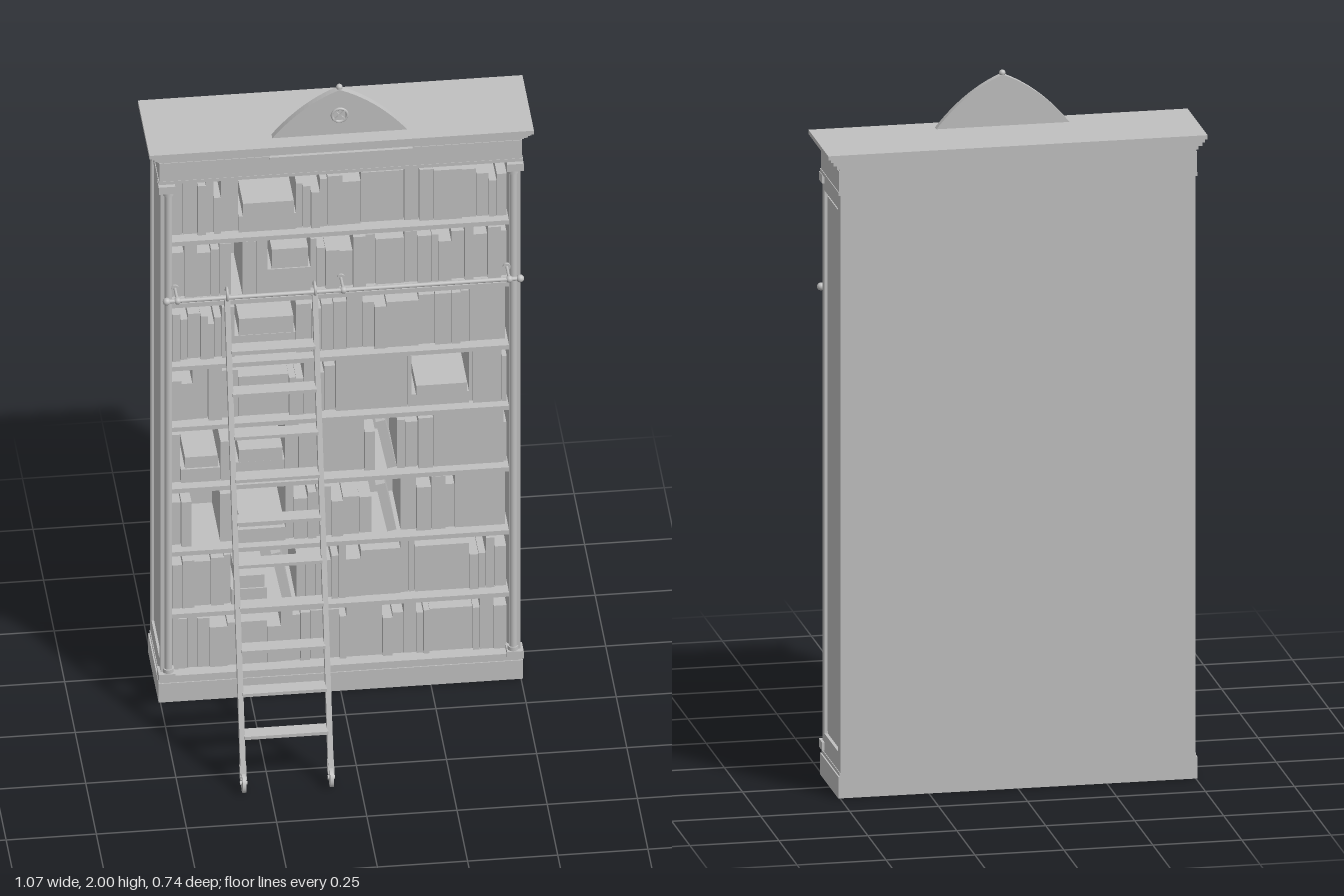
import * as THREE from 'three';

export function createModel() {
  const root = new THREE.Group();
  root.name = 'libraryBookcase';
  const grey = new THREE.MeshStandardMaterial({ color: 0xc0c0c0 });
  grey.name = 'plain grey';

  const add = (name, geo, x = 0, y = 0, z = 0, parent = root) => {
    const m = new THREE.Mesh(geo, grey);
    m.name = name;
    m.position.set(x, y, z);
    parent.add(m);
    return m;
  };
  // Box given by its limits
  const box = (name, x0, x1, y0, y1, z0, z1, parent = root) =>
    add(name, new THREE.BoxGeometry(x1 - x0, y1 - y0, z1 - z0),
      (x0 + x1) / 2, (y0 + y1) / 2, (z0 + z1) / 2, parent);
  const extrude = (shape, depth, bevel = 0) => new THREE.ExtrudeGeometry(shape, {
    depth, curveSegments: 16, bevelEnabled: bevel > 0,
    bevelSize: bevel, bevelThickness: bevel, bevelSegments: 2,
  });

  const BACK = -0.368, FRONT = -0.12;

  // Carcass
  box('backPanel', -0.495, 0.495, 0.05, 1.75, BACK, -0.352);
  box('plinth', -0.505, 0.505, 0, 0.062, BACK, -0.118);
  box('plinthMoulding', -0.501, 0.501, 0.062, 0.072, BACK, -0.121);
  box('bottomBoard', -0.495, 0.495, 0.072, 0.085, BACK, FRONT);
  box('frieze', -0.5, 0.5, 1.725, 1.82, BACK, FRONT);
  const friezeSteps = [[1.725, 1.735, 0.505, -0.117], [1.735, 1.795, 0.503, -0.118],
    [1.8, 1.81, 0.508, -0.115], [1.81, 1.82, 0.518, -0.106], [1.82, 1.828, 0.526, -0.1],
    [1.828, 1.84, 0.533, -0.094]];
  friezeSteps.forEach(([y0, y1, x, z]) => box('corniceMoulding', -x, x, y0, y1, BACK, z));
  box('plaque', -0.195, 0.195, 1.74, 1.795, -0.12, -0.111);
  box('plaqueLip', -0.198, 0.198, 1.792, 1.798, -0.12, -0.108);

  for (const s of [-1, 1]) {
    // Side wall with a framed sunken panel
    const side = new THREE.Group();
    side.name = s > 0 ? 'leftSide' : 'rightSide';
    root.add(side);
    const sideBox = (name, xa, xb, ...r) => box(name, Math.min(s * xa, s * xb), Math.max(s * xa, s * xb), ...r, side);
    sideBox('sideWall', 0.467, 0.49, 0.07, 1.73, BACK, FRONT);
    sideBox('frontStile', 0.485, 0.499, 0.07, 1.73, -0.152, FRONT);
    sideBox('backStile', 0.485, 0.499, 0.07, 1.73, BACK, -0.336);
    sideBox('bottomRail', 0.485, 0.499, 0.07, 0.125, -0.336, -0.152);
    sideBox('topRail', 0.485, 0.499, 1.68, 1.73, -0.336, -0.152);
    sideBox('sidePanel', 0.485, 0.494, 0.137, 1.668, -0.324, -0.164);
    // Front column with base and capital
    add('column', new THREE.CylinderGeometry(0.011, 0.011, 1.62, 16), s * 0.478, 0.9, -0.123, side);
    for (const y of [0.088, 1.712]) {
      sideBox('columnBlock', 0.46, 0.506, y - 0.012, y + 0.012, -0.15, -0.106);
      add('columnRing', new THREE.CylinderGeometry(0.015, 0.015, 0.012, 16),
        s * 0.478, y + (y < 1 ? 0.018 : -0.018), -0.123, side);
    }
  }

  // Shelves
  const floors = [0.085, 0.288, 0.495, 0.705, 0.91, 1.112, 1.322, 1.528];
  floors.slice(1).forEach(y => box('shelf', -0.467, 0.467, y - 0.014, y, -0.355, -0.122));

  // Books: each shelf lists its odd spots; upright books fill the rest
  // [x0, x1, height, kind] with kind: one block, flat stack, leaning book or gap
  const spots = [
    [[-0.31, -0.2, 0.14, 'block'], [-0.08, 0.0, 0.16, 'block'], [0.02, 0.12, 0.175, 'block'], [0.25, 0.37, 0.14, 'block']],
    [[-0.3, -0.2, 0.09, 'stack'], [-0.2, -0.12, 0.16, 'lean'], [0.06, 0.17, 0.15, 'block'], [0.21, 0.36, 0.15, 'block']],
    [[-0.41, -0.33, 0.17, 'gap'], [-0.29, -0.15, 0.08, 'stack'], [0.09, 0.17, 0.16, 'lean'], [0.32, 0.46, 0.18, 'block']],
    [[-0.44, -0.33, 0.08, 'stack'], [-0.29, -0.15, 0.09, 'stack'], [-0.06, 0.07, 0.17, 'block'], [0.1, 0.16, 0.16, 'lean'], [0.26, 0.455, 0.175, 'block']],
    [[-0.28, -0.14, 0.13, 'block'], [-0.01, 0.19, 0.18, 'block'], [0.2, 0.36, 0.07, 'stack'], [0.37, 0.45, 0.18, 'block']],
    [[-0.29, -0.12, 0.12, 'stack'], [0.13, 0.22, 0.15, 'block'], [0.36, 0.46, 0.18, 'block']],
    [[-0.3, -0.27, 0.17, 'gap'], [-0.2, -0.08, 0.14, 'stack'], [0.1, 0.18, 0.15, 'block']],
    [[-0.28, -0.12, 0.095, 'stack'], [0.06, 0.18, 0.165, 'block'], [0.26, 0.34, 0.165, 'block']],
  ];
  let seed = 7;
  const rnd = () => (seed = (seed * 16807) % 2147483647) / 2147483647;
  const books = new THREE.Group();
  books.name = 'books';
  root.add(books);
  const book = (x0, x1, y, h) =>
    box('book', x0 + 0.0006, x1 - 0.0006, y, y + h, -0.35, -0.145 - rnd() * 0.015, books);
  const fill = (x0, x1, y) => {
    let x = x0;
    while (x1 - x > 0.008) {
      let w = 0.018 + rnd() * 0.03;
      if (x1 - x - w < 0.015) w = x1 - x;
      book(x, x + w, y, 0.115 + rnd() * 0.068);
      x += w;
    }
  };
  spots.forEach((row, i) => {
    const y = floors[i];
    let x = -0.464;
    for (const [x0, x1, h, kind] of row) {
      fill(x, x0, y);
      if (kind === 'block') book(x0, x1, y, h);
      if (kind === 'stack') {
        book(x0, x1, y, h * 0.55);
        book(x0 + 0.012, x1 - 0.006, y + h * 0.55, h * 0.45);
      }
      if (kind === 'lean') {
        const a = 0.2, w = 0.026;
        const m = add('leaningBook', new THREE.BoxGeometry(w, h, 0.19),
          (x0 + x1) / 2, y + (h * Math.cos(a) + w * Math.sin(a)) / 2, -0.25, books);
        m.rotation.z = a;
      }
      x = x1;
    }
    fill(x, 0.464, y);
  });

  // Pediment: pointed arch plate with raised rim, medallion and finial
  const arch = (w, y0, h) => {
    const s = new THREE.Shape();
    s.moveTo(-w, y0);
    s.quadraticCurveTo(-w * 0.55, y0 + h * 0.72, 0, y0 + h);
    s.quadraticCurveTo(w * 0.55, y0 + h * 0.72, w, y0);
    s.closePath();
    return s;
  };
  add('pedimentPlate', extrude(arch(0.175, 0, 0.137), 0.012), 0, 1.84, -0.158);
  const rim = arch(0.187, 0, 0.146);
  rim.holes.push(arch(0.168, 0.006, 0.128));
  add('pedimentRim', extrude(rim, 0.02), 0, 1.84, -0.161);
  add('finial', new THREE.SphereGeometry(0.009, 16, 12), 0, 1.989, -0.152);
  add('medallionRing', new THREE.TorusGeometry(0.021, 0.004, 8, 28), 0, 1.9, -0.145);
  for (const a of [Math.PI / 4, -Math.PI / 4]) {
    add('medallionBar', new THREE.BoxGeometry(0.04, 0.006, 0.008), 0, 1.9, -0.145).rotation.z = a;
  }

  // Rail for the ladder
  const RY = 1.378, RZ = -0.055;
  add('ladderRail', new THREE.CylinderGeometry(0.006, 0.006, 0.98, 16), 0, RY, RZ).rotation.z = Math.PI / 2;
  for (const x of [-0.49, 0.49]) add('railEnd', new THREE.SphereGeometry(0.011, 16, 12), x, RY, RZ);
  for (const x of [-0.46, 0, 0.46]) {
    add('railBracket', new THREE.CylinderGeometry(0.004, 0.004, 0.075, 12), x, RY, -0.09).rotation.x = Math.PI / 2;
    add('bracketCollar', new THREE.SphereGeometry(0.01, 16, 12), x, RY, RZ);
    add('bracketFoot', new THREE.CylinderGeometry(0.011, 0.011, 0.006, 16), x, RY, -0.117).rotation.x = Math.PI / 2;
  }

  // Leaning ladder with hooks, treads and wheels
  const ladder = new THREE.Group();
  ladder.name = 'ladder';
  root.add(ladder);
  const zAt = y => 0.342 - 0.285 * y;
  const lean = -Math.atan(0.285);
  const y0 = 0.045, y1 = 1.375;
  for (const x of [-0.323, -0.08]) {
    const len = (y1 - y0) / Math.cos(lean);
    add('ladderStile', new THREE.BoxGeometry(0.015, len, 0.022), x, (y0 + y1) / 2, zAt((y0 + y1) / 2), ladder).rotation.x = lean;
    add('hook', new THREE.TorusGeometry(0.018, 0.004, 8, 24, Math.PI * 1.6), x, 1.39, RZ, ladder).rotation.y = Math.PI / 2;
    add('wheel', new THREE.CylinderGeometry(0.028, 0.028, 0.01, 24), x, 0.029, 0.34, ladder).rotation.z = Math.PI / 2;
    add('wheelFork', new THREE.BoxGeometry(0.018, 0.04, 0.018), x, 0.055, zAt(0.055), ladder).rotation.x = lean;
    add('axle', new THREE.CylinderGeometry(0.006, 0.006, 0.02, 12), x, 0.029, 0.34, ladder).rotation.z = Math.PI / 2;
  }
  for (let i = 0; i < 10; i++) {
    const y = 0.16 + i * 0.1195;
    box('tread', -0.318, -0.085, y - 0.005, y + 0.005, zAt(y) - 0.021, zAt(y) + 0.021, ladder);
  }
  return root;
}
